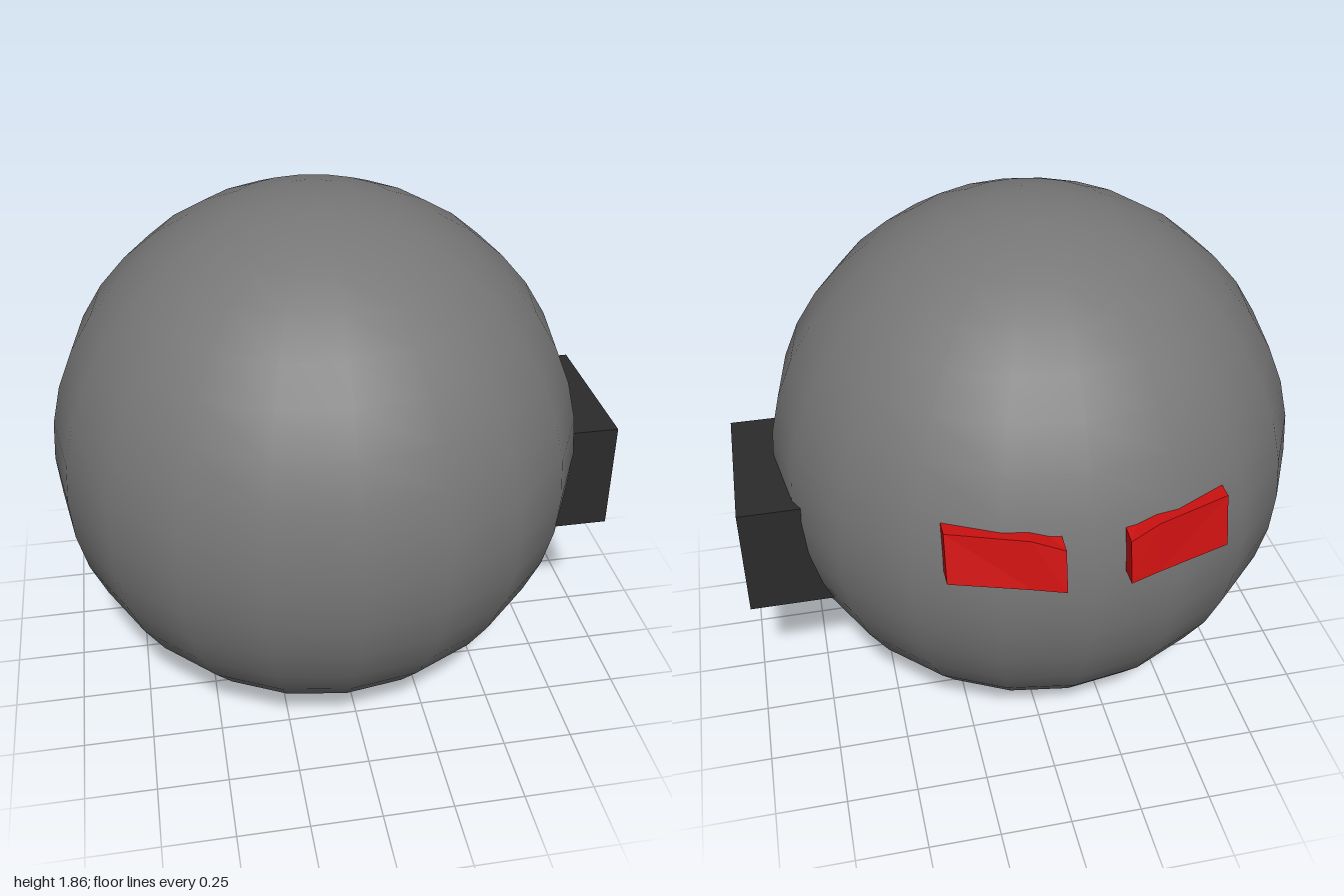
import * as THREE from 'three';

const CX = -0.07; // the ball's axis, offset by the box on its side

// Wedge-shaped bar lofted through cross-sections running outward from the ball's axis.
// Each section: [distance from axis, corners as (y, z): outer bottom, outer top, inner top, inner bottom]
function browGeometry(side) {
  const sections = [
    [0.10, [[1.025, -0.955], [1.165, -0.925], [1.185, -0.78], [1.025, -0.78]]],
    [0.20, [[1.025, -0.92], [1.19, -0.89], [1.19, -0.74], [1.025, -0.74]]],
    [0.45, [[1.025, -0.84], [1.19, -0.80], [1.19, -0.66], [1.025, -0.66]]],
  ];
  const positions = [];
  const index = [];
  const tri = (a, b, c) => (side > 0 ? index.push(a, b, c) : index.push(a, c, b));
  for (const [s, corners] of sections) {
    for (const [y, z] of corners) positions.push(CX + side * s, y, z);
  }
  for (let i = 0; i < sections.length - 1; i++) {
    for (let k = 0; k < 4; k++) {
      const a = i * 4 + k, b = i * 4 + (k + 1) % 4;
      tri(a, b, b + 4);
      tri(a, b + 4, a + 4);
    }
  }
  // End caps
  const e = (sections.length - 1) * 4;
  tri(0, 2, 1); tri(0, 3, 2);
  tri(e, e + 1, e + 2); tri(e, e + 2, e + 3);

  const indexed = new THREE.BufferGeometry();
  indexed.setAttribute('position', new THREE.Float32BufferAttribute(positions, 3));
  indexed.setIndex(index);
  const geometry = indexed.toNonIndexed();
  geometry.computeVertexNormals();
  return geometry;
}

export function createModel() {
  const group = new THREE.Group();
  const add = (name, geometry, color, flatShading = false) => {
    const mesh = new THREE.Mesh(geometry, new THREE.MeshStandardMaterial({ color, flatShading }));
    mesh.name = name;
    group.add(mesh);
    return mesh;
  };

  // Smooth ball body
  add('body', new THREE.SphereGeometry(0.932, 20, 20), 0x777777).position.set(CX, 0.935, 0.018);

  // Dark box sunk into the left side
  add('sideBox', new THREE.BoxGeometry(0.4, 0.41, 0.57), 0x2b2b2b).position.set(0.8, 0.78, -0.035);

  // Pair of red bars on the back
  add('leftBar', browGeometry(1), 0xcc1111, true);
  add('rightBar', browGeometry(-1), 0xcc1111, true);

  return group;
}
